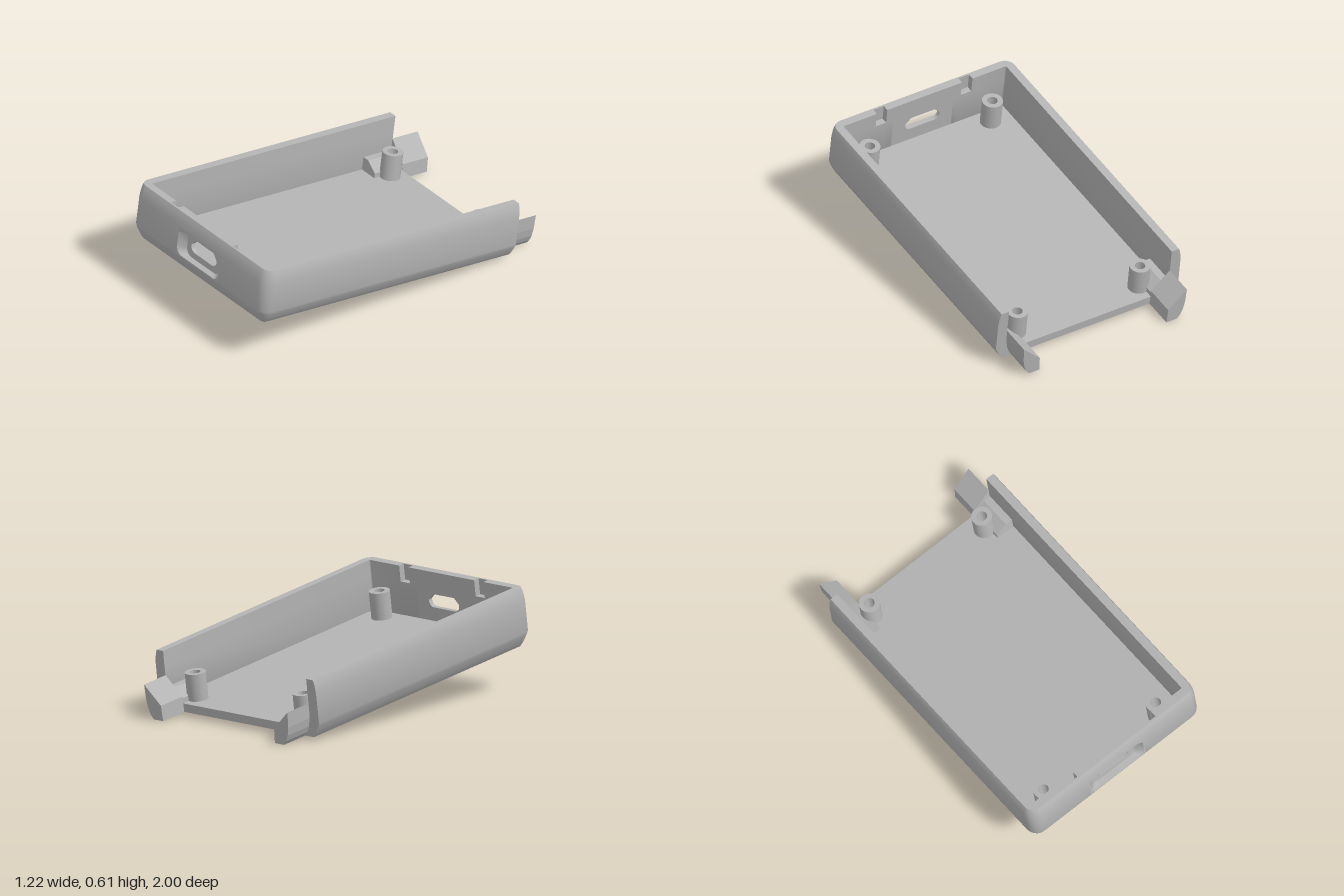
import * as THREE from 'three';
import { toCreasedNormals } from 'three/addons/utils/BufferGeometryUtils.js';

const HALF = 0.61, FRONT = 1.82, R = 0.075; // outer half width, length, corner radius
const INNER = 0.066, PORT_X = 0.2, PORT_Y = 0.172;
const grey = new THREE.MeshStandardMaterial({ color: 0xb4b4b4 });
grey.name = 'plasticGrey';

const vec2 = (pts) => pts.map(([x, y]) => new THREE.Vector2(x, y));
const shapeOf = (pts) => new THREE.Shape(vec2(pts));

// Builds a geometry from quads of four corners, dropping collapsed halves
function fromQuads(quads) {
  const pos = [];
  const tri = (a, b, c) => {
    const n = new THREE.Vector3().subVectors(b, a).cross(new THREE.Vector3().subVectors(c, a));
    if (n.length() > 1e-9) for (const p of [a, b, c]) pos.push(p.x, p.y, p.z);
  };
  for (const [a, b, c, d] of quads) { tri(a, b, c); tri(a, c, d); }
  const g = new THREE.BufferGeometry();
  g.setAttribute('position', new THREE.Float32BufferAttribute(pos, 3));
  return toCreasedNormals(g, 0.6);
}

// Wall section as [inset, height]; the notch cuts into the inner top
function section(notch) {
  const d = notch ? 0.028 : INNER;
  return [[0.05, 0], [0.034, 0.02], [0.02, 0.045], [0.008, 0.068], [0, 0.088], [0, 0.26],
    [0.003, 0.29], [0.008, 0.32], [0.017, 0.345], [d, 0.345], [d, 0.25], [INNER, 0.25], [INNER, 0.03]];
}
const OUTER_FLAT = 4, INNER_FLAT = 11; // section edges opened for the port

// U-shaped wall path from the left back, round the front, to the right back
function wallPath() {
  const path = [{ x: HALF, z: 0, nx: 1, nz: 0 }];
  const corner = (s, from, to) => {
    for (let i = 0; i <= 10; i++) {
      const a = from + (to - from) * i / 10, nx = Math.cos(a), nz = Math.sin(a);
      path.push({ x: s * (HALF - R) + R * nx, z: FRONT - R + R * nz, nx, nz });
    }
  };
  const front = (x, notch = false) => path.push({ x, z: FRONT, nx: 0, nz: 1, notch });
  corner(1, 0, Math.PI / 2);
  front(0.32); front(0.32, true); front(0.25, true); front(0.25);
  front(PORT_X); front(-PORT_X);
  front(-0.25); front(-0.25, true); front(-0.32, true); front(-0.32);
  corner(-1, Math.PI / 2, Math.PI);
  path.push({ x: -HALF, z: 0, nx: -1, nz: 0 });
  return path;
}

function wallGeometry() {
  const path = wallPath();
  const rings = path.map((p) => section(p.notch).map(([d, y]) =>
    new THREE.Vector3(p.x - p.nx * d, y, p.z - p.nz * d)));
  const quads = [];
  for (let i = 0; i < rings.length - 1; i++) {
    const atPort = path[i].x === PORT_X && path[i + 1].x === -PORT_X;
    const n = rings[i].length;
    for (let j = 0; j < n; j++) {
      if (atPort && (j === OUTER_FLAT || j === INNER_FLAT)) continue;
      const k = (j + 1) % n;
      quads.push([rings[i][j], rings[i][k], rings[i + 1][k], rings[i + 1][j]]);
    }
  }
  return fromQuads(quads);
}

// Port outline, counter-clockwise: round lower corners, cut upper corners
function portOutline(hw, hh, cut, r) {
  const pts = [];
  for (const [s, a0] of [[-1, Math.PI], [1, Math.PI * 1.5]]) {
    for (let i = 0; i <= 6; i++) {
      const a = a0 + Math.PI / 2 * i / 6;
      pts.push([s * (hw - r) + r * Math.cos(a), PORT_Y - hh + r + r * Math.sin(a)]);
    }
  }
  pts.push([hw, PORT_Y + hh - cut], [hw - cut, PORT_Y + hh],
    [-hw + cut, PORT_Y + hh], [-hw, PORT_Y + hh - cut]);
  return pts;
}

function plate(outer, hole, z, facesBack) {
  const s = shapeOf(outer);
  s.holes.push(new THREE.Path(vec2(hole)));
  const g = new THREE.ShapeGeometry(s);
  if (facesBack) g.rotateY(Math.PI);
  return g.translate(0, 0, z);
}

// Inward-facing surface joining two outlines
function tunnel(a, za, b, zb) {
  const at = (pts, i, z) => new THREE.Vector3(pts[i % pts.length][0], pts[i % pts.length][1], z);
  return fromQuads(a.map((_, i) => [at(a, i, za), at(a, i + 1, za), at(b, i + 1, zb), at(b, i, zb)]));
}

export function createModel() {
  const model = new THREE.Group();
  model.name = 'openTray';
  const tray = new THREE.Group();
  tray.name = 'tiltedTray';
  tray.rotation.x = -0.138;
  tray.position.set(0, 0.03, -0.79);
  model.add(tray);
  const add = (geometry, name) => {
    const m = new THREE.Mesh(geometry, grey);
    m.name = name;
    tray.add(m);
    return m;
  };

  // Walls and their flat back ends
  add(wallGeometry(), 'curvedWall');
  const endSection = section(false).filter((_, i) => i !== 10 && i !== 11);
  for (const s of [1, -1]) {
    const end = new THREE.ShapeGeometry(shapeOf(endSection.map(([d, y]) => [s * (HALF - d), y])));
    add(end.rotateY(Math.PI), 'wallEnd');
  }

  // Floor with screw holes
  const posts = [];
  for (const x of [0.41, -0.41]) for (const z of [0.105, 1.667]) posts.push([x, z]);
  const floorShape = shapeOf(wallPath().filter((p) => !p.notch)
    .map((p) => [p.x - p.nx * 0.05, p.z - p.nz * 0.05]));
  for (const [x, z] of posts) {
    floorShape.holes.push(new THREE.Path().absarc(x, z, 0.045, 0, Math.PI * 2, true));
  }
  const floor = new THREE.ExtrudeGeometry(floorShape, { depth: 0.05, bevelEnabled: false, curveSegments: 24 });
  add(floor.rotateX(Math.PI / 2).translate(0, 0.05, 0), 'floor');

  // Hollow screw posts
  const postProfile = vec2([[0.06, 0.02], [0.06, 0.21], [0.03, 0.21], [0.03, 0.02], [0.06, 0.02]]);
  const postGeometry = toCreasedNormals(new THREE.LatheGeometry(postProfile, 28), 0.6);
  for (const [x, z] of posts) add(postGeometry, 'screwPost').position.set(x, 0, z);

  // Recessed port in the front wall
  const rim = portOutline(0.192, 0.08, 0.03, 0.05);
  const recess = portOutline(0.15, 0.077, 0.03, 0.045);
  const slot = portOutline(0.115, 0.04, 0.036, 0.036);
  const rect = (y0, y1) => [[-PORT_X, y0], [PORT_X, y0], [PORT_X, y1], [-PORT_X, y1]];
  const zRecess = FRONT - 0.04, zInner = FRONT - INNER;
  add(plate(rect(0.088, 0.26), rim, FRONT, false), 'portSurround');
  add(tunnel(rim, FRONT, recess, zRecess), 'portRecessSides');
  add(plate(recess, slot, zRecess, false), 'portRecessBack');
  add(tunnel(slot, zRecess, slot, zInner), 'portSlot');
  add(plate(rect(0.03, 0.25), slot, zInner, true), 'portInnerPanel');

  // Rear clips with their inner mounting blocks
  const clip = [[0.425, 0], [0.495, 0], [0.515, 0.025], [0.53, 0.06], [0.54, 0.11], [0.545, 0.2], [0.43, 0.09]];
  const block = [[0.43, 0.04], [0.55, 0.04], [0.55, 0.13], [0.5, 0.13], [0.43, 0.08]];
  for (const s of [1, -1]) {
    const bar = (pts, z, depth, name) => {
      const g = new THREE.ExtrudeGeometry(shapeOf(pts.map(([x, y]) => [s * x, y])), { depth, bevelEnabled: false });
      add(g.translate(0, 0, z), name);
    };
    bar(clip, -0.18, 0.182, 'rearClip');
    bar(block, 0.001, 0.2, 'clipBlock');
  }
  return model;
}
